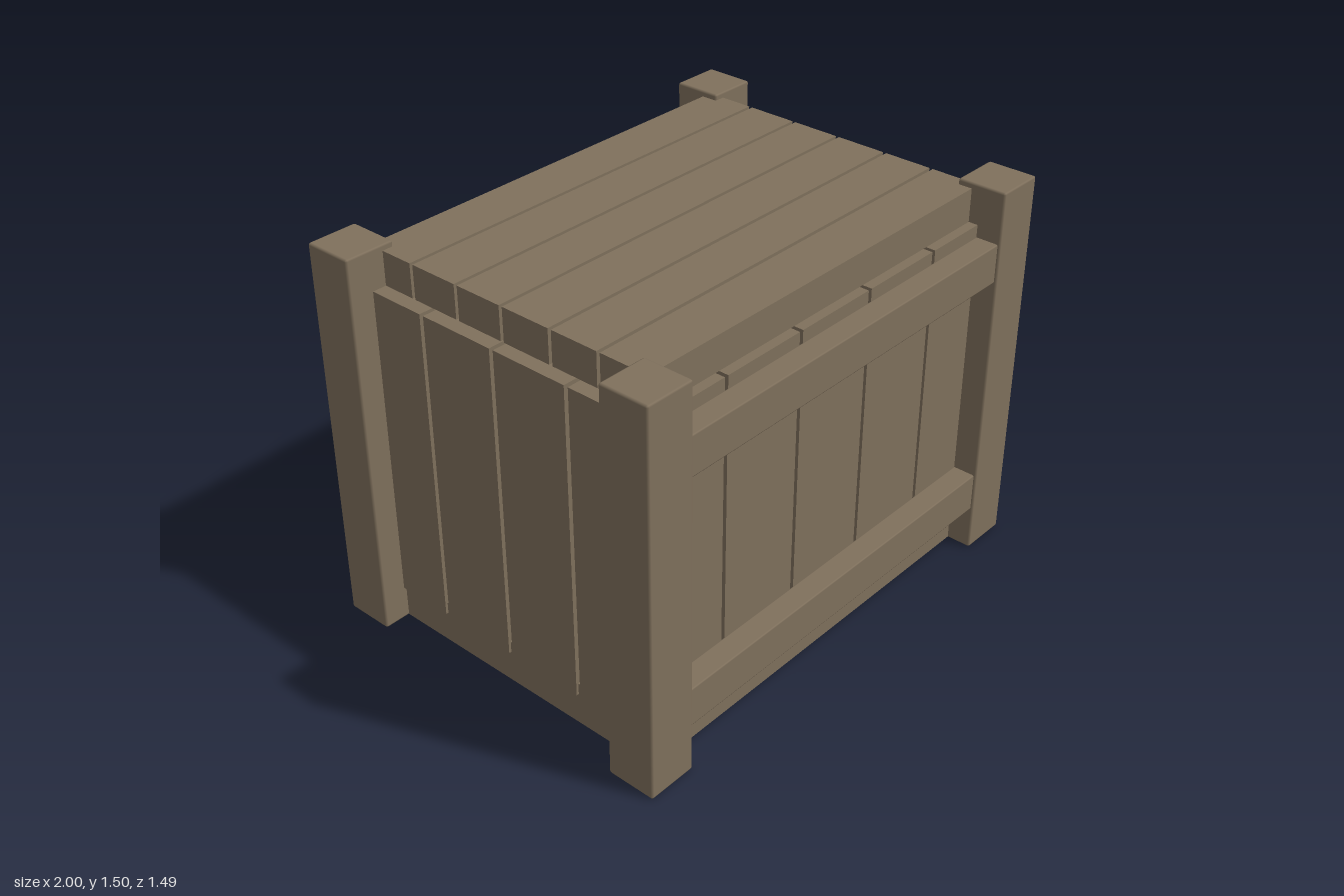
import * as THREE from 'three';
import { RoundedBoxGeometry } from 'three/addons/geometries/RoundedBoxGeometry.js';

export function createModel() {
  const crate = new THREE.Group();
  crate.name = 'woodenCrate';
  const wood = new THREE.MeshStandardMaterial({ color: 0x7f705c });
  wood.name = 'weatheredWood';

  // Adds a board spanning two corners, with softened edges when a bevel is given
  function board(name, [x0, x1], [y0, y1], [z0, z1], bevel = 0) {
    const size = [x1 - x0, y1 - y0, z1 - z0];
    const geometry = bevel
      ? new RoundedBoxGeometry(...size, 1, bevel)
      : new THREE.BoxGeometry(...size);
    const mesh = new THREE.Mesh(geometry, wood);
    mesh.position.set((x0 + x1) / 2, (y0 + y1) / 2, (z0 + z1) / 2);
    mesh.name = name;
    crate.add(mesh);
  }

  // Splits a span at the gap centres into separate plank spans
  function planks(start, end, gaps, gapWidth) {
    const cuts = [start - gapWidth / 2, ...gaps, end + gapWidth / 2];
    return cuts.slice(1).map((c, i) => [cuts[i] + gapWidth / 2, c - gapWidth / 2]);
  }

  // Solid base
  board('base', [-0.895, 0.895], [0.003, 0.175], [-0.65, 0.65]);

  // Corner posts
  for (const x of [[-1, -0.805], [0.805, 1]]) {
    for (const z of [[-0.747, -0.555], [0.555, 0.747]]) {
      board('cornerPost', x, [0, 1.5], z, 0.008);
    }
  }

  // Front and back wall planks
  for (const x of planks(-0.84, 0.84, [-0.543, -0.18, 0.18, 0.54], 0.016)) {
    board('frontPlank', x, [0.13, 1.35], [0.61, 0.649]);
    board('backPlank', x, [0.13, 1.35], [-0.659, -0.62]);
  }

  // Side wall planks
  for (const z of planks(-0.6, 0.6, [-0.32, 0.002, 0.327], 0.017)) {
    board('leftPlank', [0.82, 0.905], [0.13, 1.35], z);
    board('rightPlank', [-0.905, -0.82], [0.13, 1.35], z);
  }

  // Horizontal rails across the front and back
  for (const y of [[0.175, 0.33], [1.15, 1.302]]) {
    board('frontRail', [-0.815, 0.815], y, [0.645, 0.737], 0.006);
    board('backRail', [-0.815, 0.815], y, [-0.739, -0.655], 0.006);
  }

  // Lid slats
  for (const z of planks(-0.62, 0.612, [-0.417, -0.208, -0.004, 0.209, 0.412], 0.014)) {
    board('lidSlat', [-0.85, 0.847], [1.35, 1.478], z);
  }

  // Short cleat on the back
  board('backCleat', [-0.3, 0.63], [0.62, 0.81], [-0.722, -0.655]);

  return crate;
}
